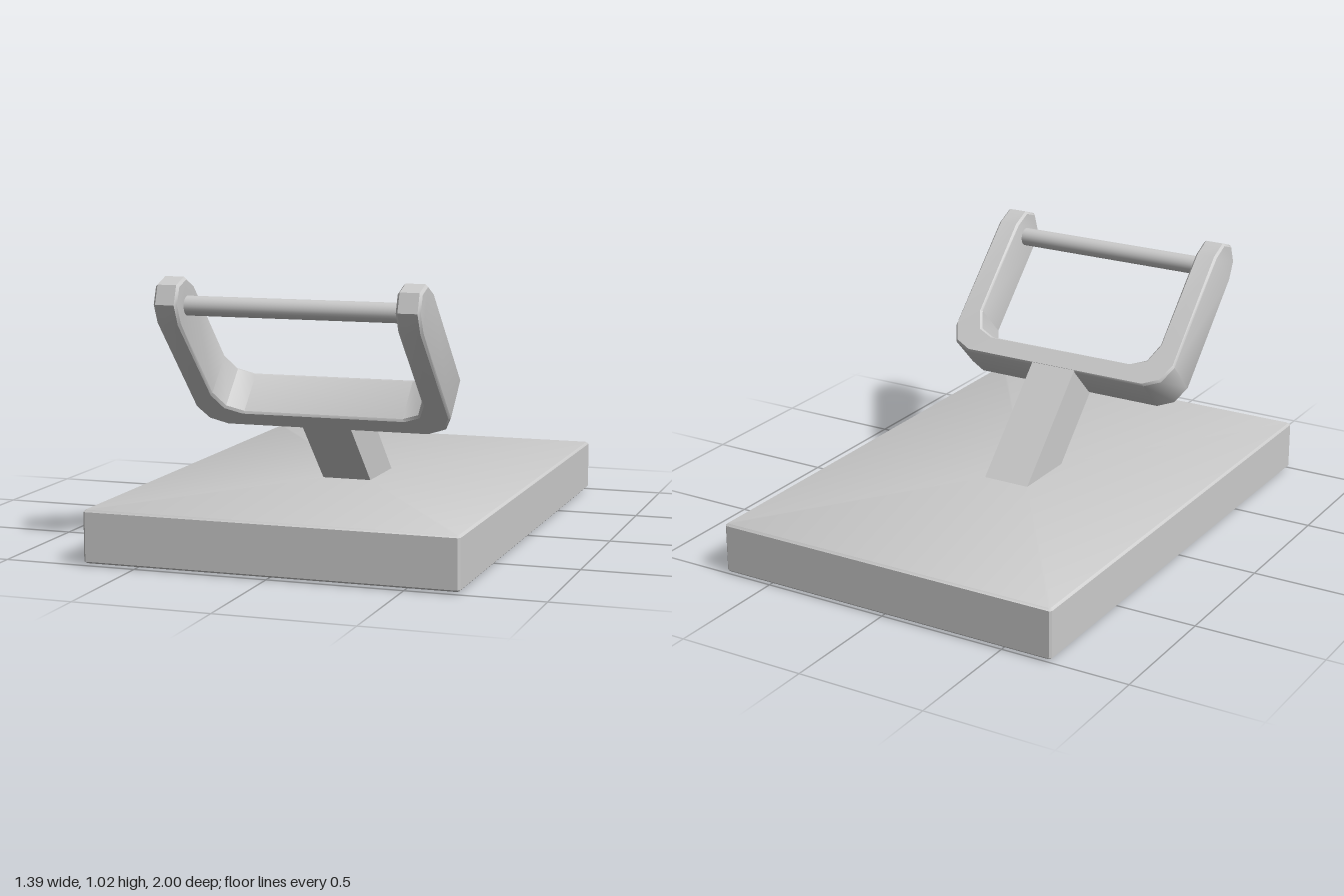
import * as THREE from 'three';
import { toCreasedNormals } from 'three/addons/utils/BufferGeometryUtils.js';

const V = (x, y, z) => new THREE.Vector3(x, y, z);

// Joins closed rings of equal length into a skin
function loft(rings) {
  const n = rings[0].length, index = [];
  for (let i = 0; i < rings.length - 1; i++) {
    for (let j = 0; j < n; j++) {
      const a = i * n + j, b = i * n + (j + 1) % n;
      index.push(a, b, b + n, a, b + n, a + n);
    }
  }
  const geometry = new THREE.BufferGeometry().setFromPoints(rings.flat());
  geometry.setIndex(index);
  return toCreasedNormals(geometry.toNonIndexed(), 0.7);
}

// Rectangle with chamfered corners at height y
function plateRing(y, inset) {
  const x = 0.697 - inset, z = 1 - inset, c = 0.008;
  return [
    V(-x + c, y, z), V(x - c, y, z), V(x, y, z - c), V(x, y, -z + c),
    V(x - c, y, -z), V(-x + c, y, -z), V(-x, y, -z + c), V(-x, y, z - c),
  ];
}

// Bevelled section of the yoke between an outer and an inner point;
// angle swings the section round the arm's end
function yokeRing({ outer, inner, angle = 0 }) {
  const r = 0.095, b = 0.009;
  const o = new THREE.Vector2(...outer), i = new THREE.Vector2(...inner);
  const step = i.clone().sub(o).setLength(b);
  const at = (p, radius, side) =>
    V(p.x, p.y + 1.16 * radius * Math.sin(angle), side * radius * Math.cos(angle));
  const o2 = o.clone().add(step), i2 = i.clone().sub(step);
  return [
    at(o, r - b, -1), at(o, r - b, 1), at(o2, r, 1), at(i2, r, 1),
    at(i, r - b, 1), at(i, r - b, -1), at(i2, r, -1), at(o2, r, -1),
  ];
}

export function createModel() {
  const model = new THREE.Group();
  const material = new THREE.MeshStandardMaterial({ color: 0xcccccc });
  const shellMaterial = new THREE.MeshStandardMaterial({ color: 0xcccccc, side: THREE.DoubleSide });
  const add = (parent, name, geometry, mat = material) => {
    const mesh = new THREE.Mesh(geometry, mat);
    mesh.name = name;
    parent.add(mesh);
    return mesh;
  };

  // Base plate: a shell open underneath
  add(model, 'basePlate', loft([
    plateRing(0.009, 0.006), plateRing(0.015, 0), plateRing(0.195, 0), plateRing(0.203, 0.008),
    Array.from({ length: 8 }, () => V(0, 0.203, 0)),
  ]), shellMaterial);

  // Everything above the plate leans forward by 45 degrees
  const fork = new THREE.Group();
  fork.name = 'fork';
  fork.position.set(0, 0.1025, -0.1025);
  fork.rotation.x = Math.PI / 4;
  model.add(fork);

  // Stem, running through the plate
  add(fork, 'stem', new THREE.BoxGeometry(0.19, 0.63, 0.188)).position.y = 0.265;

  // Yoke: rounded arm end, arm, corner, then mirrored
  const arm = { outer: [0.497, 1.15], inner: [0.407, 1.15] };
  const half = [
    { ...arm, angle: Math.PI / 2 }, { ...arm, angle: Math.PI / 4 }, arm,
    { outer: [0.497, 0.657], inner: [0.407, 0.742] },
    { outer: [0.465, 0.587], inner: [0.375, 0.665] },
    { outer: [0.4, 0.556], inner: [0.31, 0.636] },
  ];
  const mirrored = half.map(({ outer, inner, angle }) => ({
    outer: [-outer[0], outer[1]], inner: [-inner[0], inner[1]], angle,
  })).reverse();
  add(fork, 'yoke', loft([...half, ...mirrored].map(yokeRing)));

  // Cross pin between the arm ends
  const pin = add(fork, 'crossPin', new THREE.CylinderGeometry(0.036, 0.036, 0.84, 24));
  pin.rotation.z = Math.PI / 2;
  pin.position.y = 1.147;

  return model;
}
